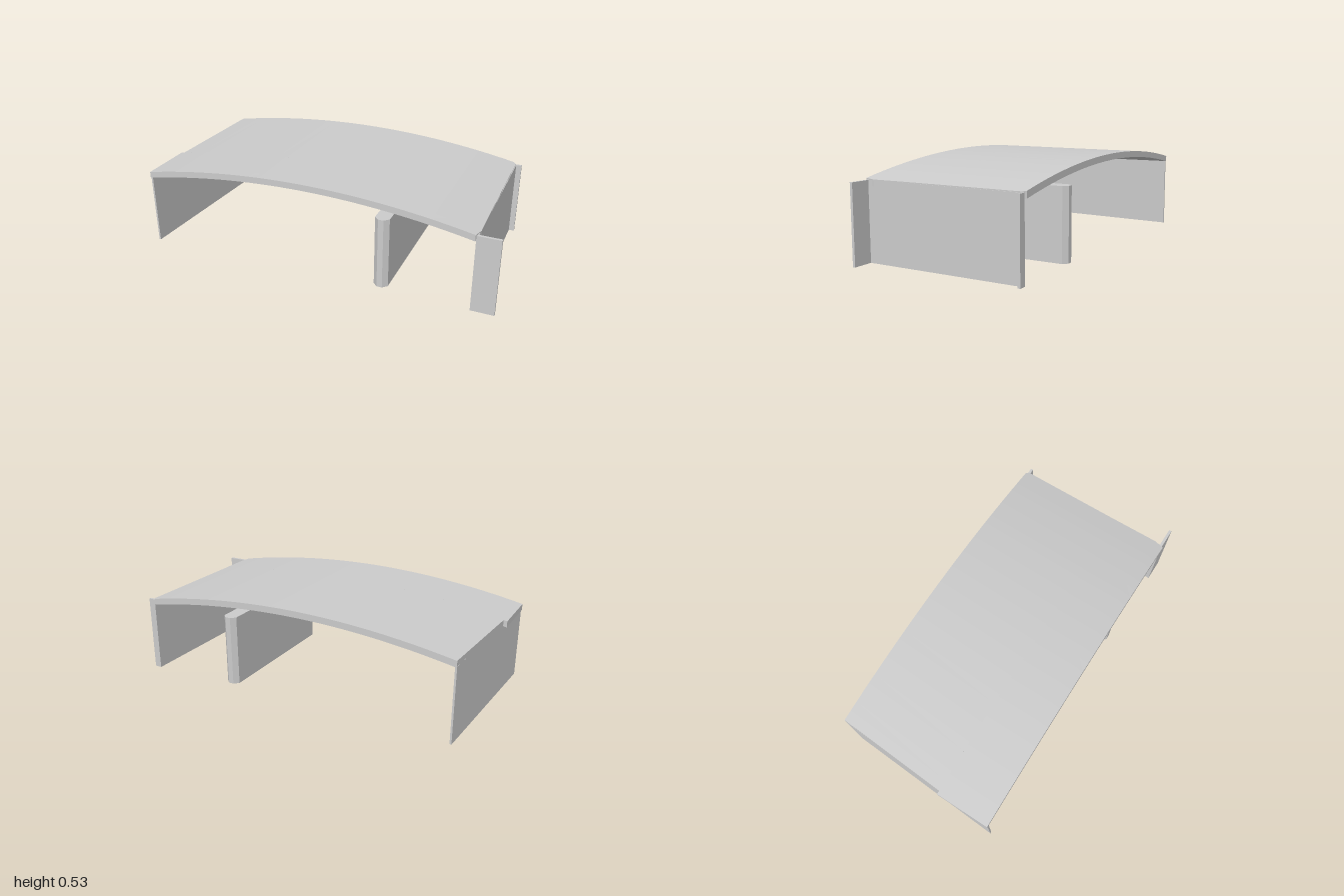
import * as THREE from 'three';

const material = new THREE.MeshStandardMaterial({ color: 0xcccccc, flatShading: true });

// Upright wall standing on the ground, from a plan outline of [x, z] corners
function wall(name, plan, height) {
  const shape = new THREE.Shape(plan.map(([x, z]) => new THREE.Vector2(x, -z)));
  const geo = new THREE.ExtrudeGeometry(shape, { depth: height, bevelEnabled: false });
  geo.rotateX(-Math.PI / 2);
  const mesh = new THREE.Mesh(geo, material);
  mesh.name = name;
  return mesh;
}

// Gently arched deck: a box whose rows follow the skewed plan
function archedDeck() {
  // each row: z, left end x, right end x; the repeated z makes the end step
  const rows = [
    [-0.474, -0.945, 0.872], [-0.457, -0.945, 0.886], [0.16, -0.98, 0.886],
    [0.16, -1, 0.886], [0.41, -1, 0.888], [0.468, -1, 0.873],
  ];
  const crownX = -0.06, crownY = 0.53, thickness = 0.035;
  const geo = new THREE.BoxGeometry(1, 1, 1, 32, 1, rows.length - 1);
  const p = geo.attributes.position;
  for (let i = 0; i < p.count; i++) {
    const row = rows[Math.round((p.getZ(i) + 0.5) * (rows.length - 1))];
    const x = THREE.MathUtils.lerp(row[1], row[2], p.getX(i) + 0.5);
    const top = crownY - 0.108 * (x - crownX) ** 2;
    p.setXYZ(i, x, p.getY(i) > 0 ? top : top - thickness, row[0]);
  }
  geo.computeVertexNormals();
  const mesh = new THREE.Mesh(geo, material);
  mesh.name = 'archedDeck';
  return mesh;
}

export function createModel() {
  const model = new THREE.Group();
  model.name = 'archBridge';
  model.add(archedDeck());

  // Skewed end wall under the low end of the deck
  model.add(wall('endWall', [[-0.995, 0.468], [-0.985, 0.468], [-0.935, -0.47], [-0.945, -0.47]], 0.415));

  // Abutment with one long and one short wing, as a single channel outline
  model.add(wall('abutment', [
    [0.875, 0.46], [1, 0.46], [1, 0.445], [0.886, 0.445],
    [0.89, -0.452], [0.92, -0.452], [0.92, -0.466], [0.88, -0.466],
  ], 0.428));

  // Pier with chamfered noses, stopping short of the deck
  const x = 0.383, w = 0.04, c = 0.015, z = 0.44, n = 0.415;
  model.add(wall('pier', [
    [x - w, n], [x - c, z], [x + c, z], [x + w, n],
    [x + w, -n], [x + c, -z], [x - c, -z], [x - w, -n],
  ], 0.4));

  return model;
}
